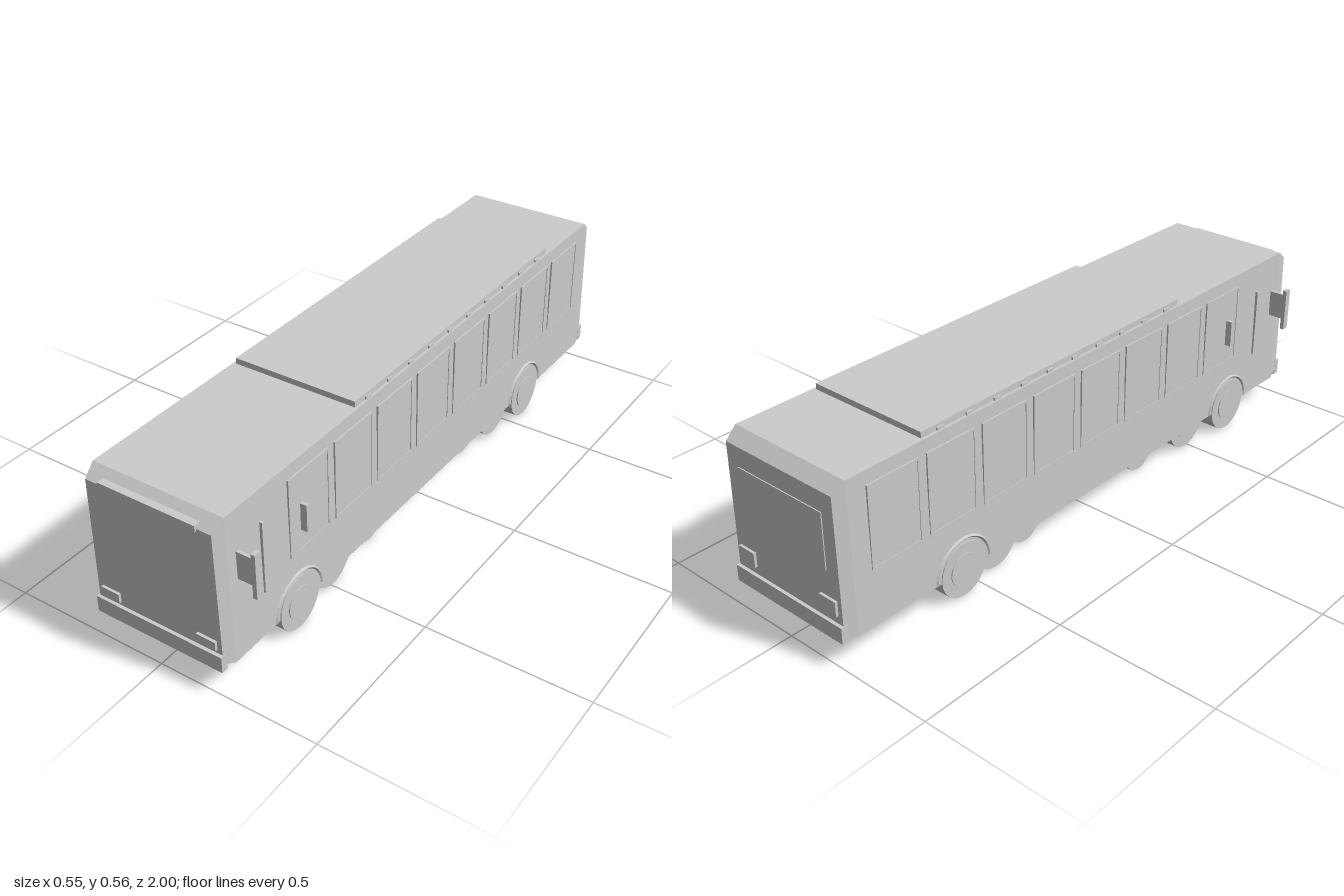
import * as THREE from 'three';

const mat = new THREE.MeshStandardMaterial({ color: 0xcccccc, flatShading: true, side: THREE.DoubleSide });

export function createModel() {
  const model = new THREE.Group();

  const add = (name, geo, x = 0, y = 0, z = 0) => {
    const m = new THREE.Mesh(geo, mat);
    m.name = name;
    m.position.set(x, y, z);
    model.add(m);
    return m;
  };
  // box given by its limits on each axis
  const box = (name, x0, x1, y0, y1, z0, z1) =>
    add(name, new THREE.BoxGeometry(Math.abs(x1 - x0), y1 - y0, Math.abs(z1 - z0)),
      (x0 + x1) / 2, (y0 + y1) / 2, (z0 + z1) / 2);

  // Body shell, open underneath, narrowing and bevelled at both ends
  const wall = (y) => 0.209 + (0.54 - y) * 0.014;
  const sections = [
    [0.99, 0.1, 0.51, -0.008], [0.95, 0.08, 0.54, 0],
    [-0.95, 0.08, 0.54, 0], [-0.99, 0.1, 0.51, -0.008],
  ];
  const pos = [], idx = [];
  for (const [z, y0, y1, inset] of sections) {
    const a = wall(y0) + inset, b = wall(y1) + inset;
    pos.push(a, y0, z, b, y1, z, -b, y1, z, -a, y0, z);
  }
  for (let s = 0; s < 3; s++)
    for (let i = 0; i < 3; i++) {
      const p = s * 4 + i, q = p + 4;
      idx.push(p, q, p + 1, p + 1, q, q + 1);
    }
  idx.push(0, 1, 2, 0, 2, 3, 12, 14, 13, 12, 15, 14);
  const shell = new THREE.BufferGeometry();
  shell.setAttribute('position', new THREE.Float32BufferAttribute(pos, 3));
  shell.setIndex(idx);
  const bodyGeo = shell.toNonIndexed();
  bodyGeo.computeVertexNormals();
  add('body', bodyGeo);

  // Roof unit with small brackets along its sides
  box('roofUnit', -0.2, 0.2, 0.538, 0.558, -0.69, 0.39);
  for (let i = 0; i < 10; i++) {
    const z = 0.33 - i * 0.106;
    box('roofBracket', -0.205, 0.205, 0.538, 0.549, z - 0.012, z + 0.012);
  }

  // Front and rear trim
  box('destinationPanel', -0.156, 0.156, 0.503, 0.522, 0.968, 0.996);
  box('frontBumper', -0.21, 0.21, 0.08, 0.13, 0.978, 1);
  box('rearBumper', -0.21, 0.21, 0.08, 0.13, -1, -0.978);
  box('rearWindow', -0.16, 0.16, 0.28, 0.45, -0.993, -0.985);
  for (const s of [-1, 1]) {
    box('headlight', s * 0.13, s * 0.191, 0.141, 0.171, 0.98, 0.998);
    box('tailLight', s * 0.13, s * 0.191, 0.155, 0.2, -0.998, -0.98);
  }

  // Window: a thin frame around a slightly sunken pane
  const frame = new THREE.Shape();
  frame.moveTo(-0.088, -0.125).lineTo(0.088, -0.125).lineTo(0.088, 0.125).lineTo(-0.088, 0.125).closePath();
  const hole = new THREE.Path();
  hole.moveTo(-0.082, -0.119).lineTo(-0.082, 0.119).lineTo(0.082, 0.119).lineTo(0.082, -0.119).closePath();
  frame.holes.push(hole);
  const frameGeo = new THREE.ExtrudeGeometry(frame, { depth: 0.005, bevelEnabled: false });

  // Wheel pairs: z, radius, inner x, outer x
  const wheels = [
    [0.68, 0.085, 0.135, 0.218], [0.49, 0.085, 0.125, 0.19], [0.27, 0.063, 0.11, 0.165],
    [0.2, 0.052, 0.08, 0.135], [0.11, 0.05, 0.08, 0.135], [-0.11, 0.05, 0.08, 0.135],
    [-0.2, 0.052, 0.08, 0.135], [-0.265, 0.063, 0.11, 0.165], [-0.415, 0.085, 0.125, 0.19],
    [-0.57, 0.085, 0.135, 0.218],
  ];
  const disc = (name, r, x0, x1, y, z) => {
    const m = add(name, new THREE.CylinderGeometry(r, r, Math.abs(x1 - x0), 24), (x0 + x1) / 2, y, z);
    m.rotation.z = Math.PI / 2;
  };

  for (const s of [-1, 1]) {
    for (let i = 0; i < 8; i++) {
      const f = add('windowFrame', frameGeo, s * 0.2105, 0.375, 0.62 - i * 0.203);
      f.rotation.y = s * Math.PI / 2;
      box('windowPane', s * 0.208, s * 0.2135, 0.255, 0.495, 0.538 - i * 0.203, 0.702 - i * 0.203);
    }
    box('doorStrip', s * 0.2, s * 0.219, 0.22, 0.445, 0.815, 0.823);
    box('sideMarker', s * 0.21, s * 0.234, 0.315, 0.4, 0.648, 0.66);

    // Mirror
    box('mirrorArm', s * 0.205, s * 0.262, 0.332, 0.417, 0.908, 0.918);
    box('mirrorPlate', s * 0.262, s * 0.275, 0.298, 0.436, 0.902, 0.924);

    for (const [z, r, x0, x1] of wheels) {
      disc('wheel', r, s * x0, s * x1, r, z);
      disc('hub', r * 0.6, s * x1, s * (x1 + 0.003), r, z);
    }
    // Arches over the outermost wheels
    for (const z of [0.68, -0.57]) {
      const arch = add('wheelArch', new THREE.TorusGeometry(0.1, 0.005, 4, 20, Math.PI), s * 0.2145, 0.083, z);
      arch.rotation.y = Math.PI / 2;
    }
    box('chassisRail', s * 0.085, s * 0.105, 0.062, 0.09, -0.65, 0.76);
    box('sideSill', s * 0.135, s * 0.212, 0.078, 0.084, -0.33, 0.4);
  }

  // Underside: axles, cross members, floor plates and centre wheels
  for (const [z, r, x0] of wheels) disc('axle', 0.012, -x0, x0, r, z);
  for (const z of [0.585, 0.39, -0.34, -0.49])
    box('crossMember', -0.18, 0.18, 0.06, 0.085, z - 0.02, z + 0.02);
  box('floorPlate', -0.135, 0.135, 0.075, 0.085, -0.33, 0.4);
  for (const z of [0.155, 0, -0.155])
    box('floorRib', -0.135, 0.135, 0.052, 0.078, z - 0.018, z + 0.018);
  for (const z of [0.11, -0.11]) disc('centreWheel', 0.05, -0.01, 0.01, 0.05, z);

  return model;
}
